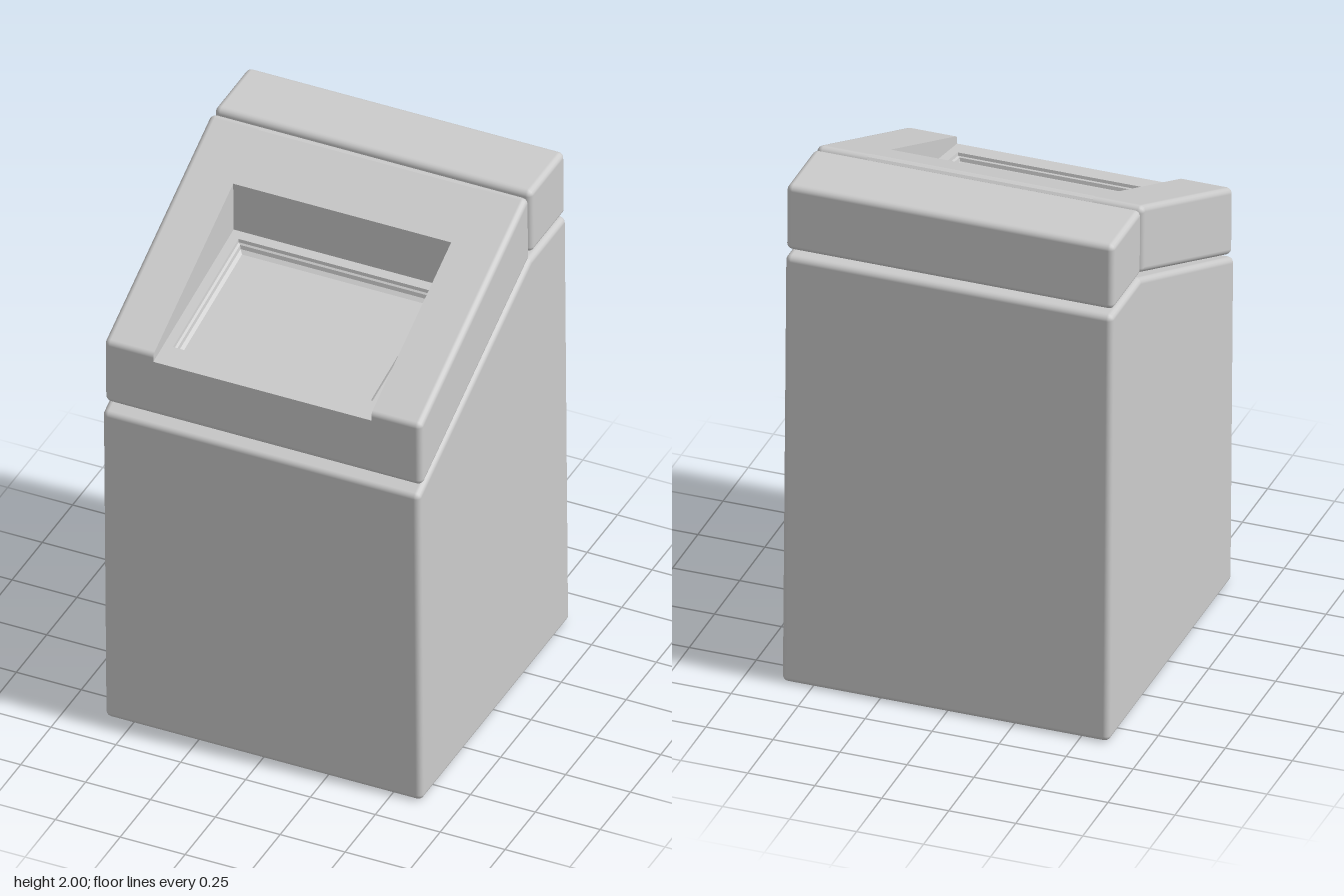
import * as THREE from 'three';

const STEPS = 4, R = 0.022;
const material = new THREE.MeshStandardMaterial({ color: 0xcccccc });

// Rounds every corner of a counter-clockwise (back, up) profile.
// Each entry holds the arc centre and an outward direction.
function roundCorners(points) {
  const n = points.length, out = [];
  const normal = (a, b) => new THREE.Vector2(b.y - a.y, a.x - b.x).normalize();
  const v = points.map(([u, y]) => new THREE.Vector2(u, y));
  for (let i = 0; i < n; i++) {
    const n1 = normal(v[(i + n - 1) % n], v[i]), n2 = normal(v[i], v[(i + 1) % n]);
    const centre = v[i].clone().addScaledVector(n1.clone().add(n2), -R / (1 + n1.dot(n2)));
    const a1 = Math.atan2(n1.y, n1.x);
    const turn = Math.atan2(n1.cross(n2), n1.dot(n2));
    for (let k = 0; k <= STEPS; k++) {
      const a = a1 + turn * k / STEPS;
      out.push({ centre, dir: new THREE.Vector2(Math.cos(a), Math.sin(a)) });
    }
  }
  return out;
}

// Sweeps a rounded convex profile from x0 to x1; either end may be rounded too.
function roundedPrism(points, x0, x1, roundStart, roundEnd) {
  const ring = roundCorners(points), n = ring.length;
  const pos = [], nor = [], idx = [], rings = [];
  if (roundStart) for (let k = 0; k < STEPS; k++) rings.push([x0 + R, -Math.PI / 2 * (1 - k / STEPS)]);
  rings.push([roundStart ? x0 + R : x0, 0], [roundEnd ? x1 - R : x1, 0]);
  if (roundEnd) for (let k = 1; k <= STEPS; k++) rings.push([x1 - R, Math.PI / 2 * k / STEPS]);

  const addRing = ([w, phi], flat) => {
    const c = Math.cos(phi), s = Math.sin(phi);
    for (const { centre, dir } of ring) {
      pos.push(centre.x + R * c * dir.x, centre.y + R * c * dir.y, w + R * s);
      if (flat) nor.push(0, 0, flat);
      else nor.push(c * dir.x, c * dir.y, s);
    }
  };
  rings.forEach((r) => addRing(r, 0));
  for (let r = 0; r < rings.length - 1; r++) {
    for (let i = 0; i < n; i++) {
      const j = (i + 1) % n, a = r * n + i, b = r * n + j;
      idx.push(a, b, b + n, a, b + n, a + n);
    }
  }
  const start = rings.length * n, end = start + n;
  addRing(rings[0], -1);
  addRing(rings[rings.length - 1], 1);
  for (let i = 1; i < n - 1; i++) {
    idx.push(start, start + i + 1, start + i, end, end + i, end + i + 1);
  }
  const g = new THREE.BufferGeometry();
  g.setAttribute('position', new THREE.Float32BufferAttribute(pos, 3));
  g.setAttribute('normal', new THREE.Float32BufferAttribute(nor, 3));
  g.setIndex(idx);
  return g.rotateY(Math.PI / 2);
}

// Height of the gently sloping floor of the console opening
const floorY = (z) => 1.56 + (0.595 - z) * 0.21;

// Nested rectangles [halfWidth, zBack, zFront, depth] stepping down to a flat panel
function steppedPan(loops) {
  const pos = [];
  const corners = loops.map(([h, zb, zf, d]) =>
    [[-h, zf], [h, zf], [h, zb], [-h, zb]].map(([x, z]) => [x, floorY(z) - d, z]));
  const quad = (a, b, c, d) => pos.push(...a, ...b, ...c, ...a, ...c, ...d);
  for (let l = 0; l < corners.length - 1; l++) {
    for (let i = 0; i < 4; i++) {
      const j = (i + 1) % 4;
      quad(corners[l][i], corners[l][j], corners[l + 1][j], corners[l + 1][i]);
    }
  }
  quad(...corners[corners.length - 1]);
  const g = new THREE.BufferGeometry();
  g.setAttribute('position', new THREE.Float32BufferAttribute(pos, 3));
  g.computeVertexNormals();
  return g;
}

export function createModel() {
  const model = new THREE.Group();
  model.name = 'slopedConsole';
  const add = (name, geometry, parent = model) => {
    // the cabinet leans very slightly to one side
    const p = geometry.attributes.position;
    for (let i = 0; i < p.count; i++) p.setX(i, p.getX(i) + 0.004 - 0.0075 * p.getY(i));
    const mesh = new THREE.Mesh(geometry, material);
    mesh.name = name;
    parent.add(mesh);
  };
  const half = 0.611, opening = 0.42;

  // Cabinet with a sloping top
  add('cabinet', roundedPrism(
    [[-0.615, 0], [0.613, 0], [0.613, 1.72], [0.32, 1.72], [-0.615, 1.3]],
    -half, half, true, true));

  // Block along the back of the top
  add('rearBlock', roundedPrism(
    [[0.322, 1.74], [0.605, 1.74], [0.605, 2], [0.322, 2]], -half, half, true, true));

  // Sloping lid: two side arms and a recessed middle
  const lid = new THREE.Group();
  lid.name = 'slopedLid';
  model.add(lid);
  const profile = [[-0.595, 1.32], [0.31, 1.735], [0.31, 2.005], [-0.595, 1.59]];
  add('rightArm', roundedPrism(profile, -half, -opening, true, false), lid);
  add('leftArm', roundedPrism(profile, opening, half, false, true), lid);

  // Middle of the lid, cut down to just under the opening's floor
  const zBack = -0.07, zFront = 0.595, under = 0.05;
  const middle = roundCorners(profile).slice(0, 3 * (STEPS + 1))
    .map(({ centre, dir }) => centre.clone().addScaledVector(dir, R));
  middle.push(
    new THREE.Vector2(-zBack, 1.895),
    new THREE.Vector2(-zBack, floorY(zBack) - under),
    new THREE.Vector2(-zFront, floorY(zFront) - under));
  add('lidMiddle', new THREE.ExtrudeGeometry(new THREE.Shape(middle),
    { depth: 2 * opening, bevelEnabled: false })
    .translate(0, 0, -opening).rotateY(Math.PI / 2), lid);

  // Floor of the opening with the sunken screen
  add('screenPan', steppedPan([
    [opening, zBack, zFront, under],
    [opening, zBack, zFront, 0],
    [0.385, -0.035, 0.508, 0],
    [0.383, -0.033, 0.506, 0.012],
    [0.375, -0.027, 0.5, 0.016],
    [0.372, -0.024, 0.497, 0.03],
    [0.36, -0.01, 0.485, 0.038],
  ]), lid);

  return model;
}
